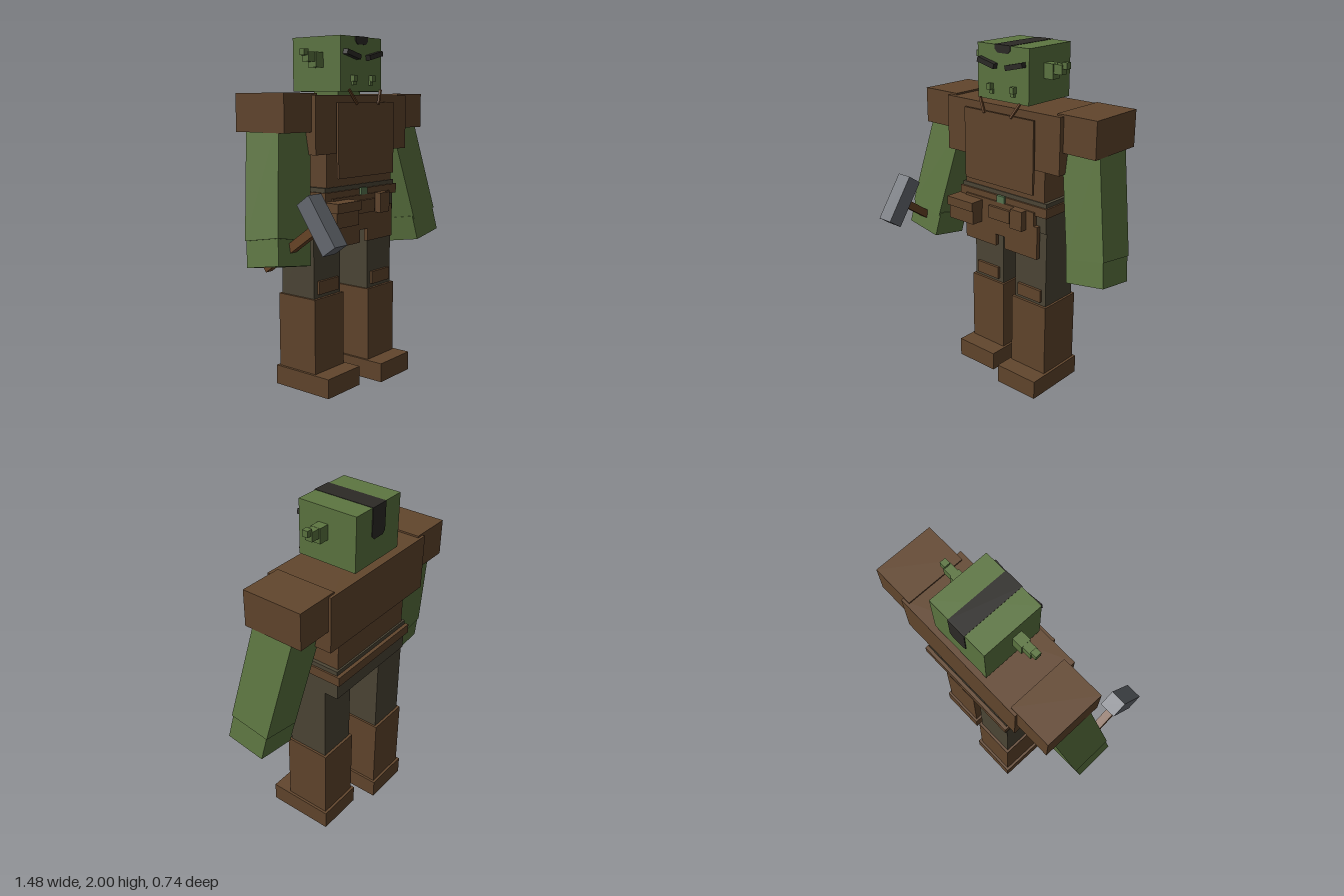
import * as THREE from 'three';

const mat = (name, color) => {
  const m = new THREE.MeshStandardMaterial({ color });
  m.name = name;
  return m;
};

export function createModel() {
  const skin = mat('green skin', 0x5d7641);
  const leather = mat('brown leather', 0x62462d);
  const cloth = mat('dark trousers', 0x4d4636);
  const hair = mat('black hair', 0x2c2a26);
  const metal = mat('grey metal', 0x686c73);
  const strap = mat('strap and wood brown', 0x6b4627);
  const gem = mat('buckle green', 0x587650);

  const model = new THREE.Group();
  model.name = 'hammerWarrior';
  const group = (name, parent = model) => {
    const g = new THREE.Group();
    g.name = name;
    parent.add(g);
    return g;
  };

  // Box given by its extents along each axis
  const box = (name, material, [x0, x1], [y0, y1], [z0, z1], parent = model) => {
    const m = new THREE.Mesh(new THREE.BoxGeometry(x1 - x0, y1 - y0, z1 - z0), material);
    m.position.set((x0 + x1) / 2, (y0 + y1) / 2, (z0 + z1) / 2);
    m.name = name;
    parent.add(m);
    return m;
  };
  // Same, with x flipped for the right side
  const span = (s, a, b) => (s > 0 ? [a, b] : [-b, -a]);

  // Flat outline extruded from z0 to z1
  const plate = (name, material, points, z0, z1, parent = model) => {
    const shape = new THREE.Shape(points.map(([x, y]) => new THREE.Vector2(x, y)));
    const m = new THREE.Mesh(new THREE.ExtrudeGeometry(shape, { depth: z1 - z0, bevelEnabled: false }), material);
    m.position.z = z0;
    m.name = name;
    parent.add(m);
    return m;
  };

  // Head with a hair stripe running front to back
  const head = group('head');
  box('skull', skin, [-0.183, 0.183], [1.7, 2], [-0.342, 0.008], head);
  box('neck', skin, [-0.1, 0.1], [1.67, 1.71], [-0.26, -0.08], head);
  box('hairTop', hair, [-0.055, 0.055], [1.996, 2.002], [-0.345, 0.012], head);
  const lock = (y) => [[-0.055, 2.002], [-0.055, y + 0.018], [-0.037, y], [0.037, y], [0.055, y + 0.018], [0.055, 2.002]];
  plate('hairFront', hair, lock(1.958), 0.004, 0.012, head);
  plate('hairBack', hair, lock(1.83), -0.346, -0.338, head);
  for (const s of [1, -1]) {
    const brow = box('eyebrow', hair, [-0.061, 0.061], [-0.014, 0.014], [0, 0.035], head);
    brow.position.set(s * 0.1, 1.901, 0.022);
    brow.rotation.z = s * 0.23;
    box('tuskTip', skin, span(s, 0.07, 0.096), [1.755, 1.79], [0, 0.034], head);
    box('tuskBase', skin, span(s, 0.064, 0.09), [1.735, 1.76], [0, 0.022], head);
    // Stepped ear
    box('earBase', skin, span(s, 0.18, 0.243), [1.83, 1.913], [-0.173, -0.115], head);
    box('earMiddle', skin, span(s, 0.243, 0.297), [1.86, 1.912], [-0.167, -0.122], head);
    box('earTip', skin, span(s, 0.29, 0.325), [1.892, 1.927], [-0.162, -0.128], head);
  }

  // Torso armour
  box('chest', leather, [-0.41, 0.41], [1.365, 1.68], [-0.37, 0.025]);
  box('waist', leather, [-0.295, 0.295], [1.17, 1.37], [-0.33, 0.0]);
  box('breastplate', leather, [-0.252, 0.252], [1.228, 1.64], [0.036, 0.05]);
  box('waistband', cloth, [-0.315, 0.315], [1.14, 1.18], [-0.34, 0.006]);
  box('belt', leather, [-0.325, 0.325], [1.1, 1.155], [-0.36, 0.018]);
  box('buckle', gem, [-0.028, 0.028], [1.12, 1.16], [0.015, 0.032]);
  for (const s of [1, -1]) {
    const lace = box('chestStrap', strap, [-0.006, 0.006], [-0.048, 0.048], [-0.006, 0.006]);
    lace.position.set(s * 0.12, 1.671, 0.045);
    lace.rotation.set(-0.25, 0, -s * 0.53);
  }

  // Hips, apron and pouches
  box('hips', cloth, [-0.31, 0.31], [1.0, 1.14], [-0.34, 0.0]);
  plate('apron', leather, [
    [-0.275, 0.845], [-0.038, 0.845], [-0.038, 0.918], [0.032, 0.918], [0.032, 0.845],
    [0.27, 0.845], [0.27, 1.04], [0.245, 1.04], [0.245, 1.12], [-0.275, 1.12],
  ], 0.002, 0.028);
  box('beltFlap', leather, [-0.08, 0.08], [1.015, 1.09], [0.02, 0.044]);
  box('smallPouch', leather, [0.105, 0.19], [1.005, 1.12], [0.02, 0.068]);
  box('pouch', leather, [-0.334, -0.145], [0.97, 1.06], [0.0, 0.105]);
  box('pouchLid', leather, [-0.34, -0.14], [1.053, 1.106], [0.0, 0.118]);

  for (const s of [1, -1]) {
    // Legs: the left one stands a little further forward
    const leg = group(s > 0 ? 'leftLeg' : 'rightLeg');
    leg.position.z = s > 0 ? 0 : -0.075;
    box('trouserLeg', cloth, span(s, 0.08, 0.308), [0.54, 1.01], [-0.255, -0.012], leg);
    box('kneePatch', leather, span(s, 0.11, 0.28), [0.57, 0.645], [-0.02, 0.004], leg);
    box('boot', leather, span(s, 0.068, 0.321), [0.1, 0.547], [-0.27, 0.004], leg);
    box('foot', leather, span(s, 0.054, 0.336), [0, 0.113], [-0.285, 0.113], leg);

    // Arms hang outward and forward from the sleeves
    box('sleeve', leather, span(s, 0.366, 0.617), [1.486, 1.69], [-0.355, -0.003]);
    const arm = group(s > 0 ? 'leftArm' : 'rightArm');
    arm.position.set(s * 0.487, 1.5, -0.17);
    arm.rotation.set(s > 0 ? -0.155 : -0.17, 0, s * 0.2);
    box('forearm', skin, [-0.119, 0.119], [-0.595, 0.02], [-0.121, 0.121], arm);
    const hand = box('hand', skin, [-0.119, 0.119], [-0.73, -0.58], [-0.116, 0.116], arm);
    hand.position.x -= s * 0.008;
    hand.rotation.z = -s * 0.04;
  }

  // Hammer gripped in the right hand
  const hammer = group('hammer');
  hammer.position.set(-0.62, 1.045, 0.247);
  hammer.rotation.x = -0.61;
  box('hammerHead', metal, [-0.048, 0.048], [-0.147, 0.147], [-0.048, 0.048], hammer);
  box('hammerHandle', strap, [-0.023, 0.023], [-0.023, 0.023], [-0.47, 0], hammer);

  return model;
}
